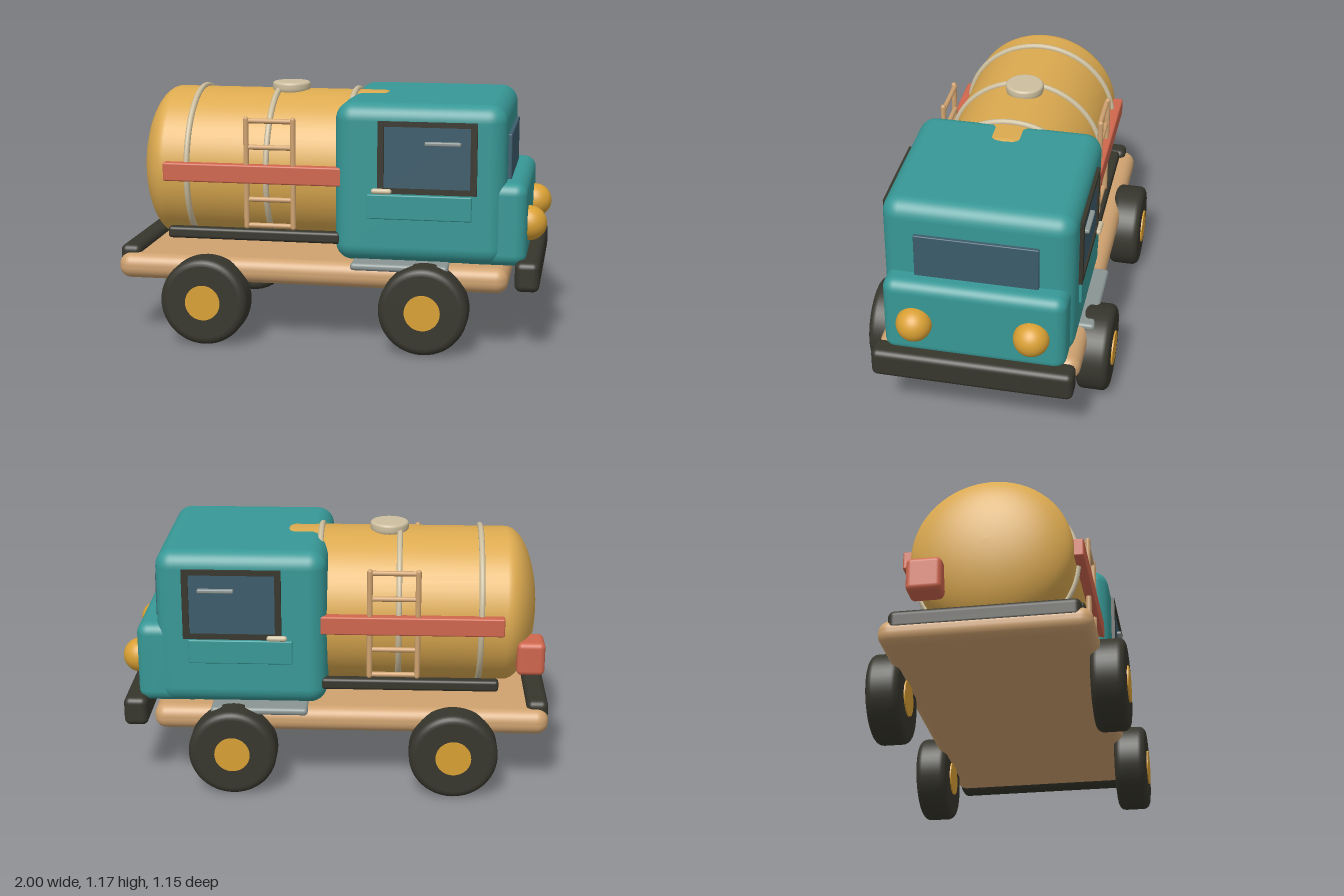
import * as THREE from 'three';
import { RoundedBoxGeometry } from 'three/addons/geometries/RoundedBoxGeometry.js';

export function createModel() {
  const truck = new THREE.Group();
  truck.name = 'tankTruck';

  const mat = (name, color) => {
    const m = new THREE.MeshStandardMaterial({ color });
    m.name = name;
    return m;
  };
  const teal = mat('tealPaint', 0x379896);
  const gold = mat('tankYellow', 0xdcaa50);
  const tan = mat('tanFrame', 0xcfa270);
  const dark = mat('darkRubber', 0x37362d);
  const amber = mat('amber', 0xd9a034);
  const red = mat('redPaint', 0xcf664d);
  const cream = mat('creamMetal', 0xcdbf9f);
  const grey = mat('greyMetal', 0x8a9593);
  const glass = mat('blueGlass', 0x3c5c6b);

  const add = (name, geometry, material, x = 0, y = 0, z = 0) => {
    const mesh = new THREE.Mesh(geometry, material);
    mesh.name = name;
    mesh.position.set(x, y, z);
    truck.add(mesh);
    return mesh;
  };
  // Rounded box given by its limits on each axis
  const box = (name, material, [x0, x1], [y0, y1], [z0, z1], radius) =>
    add(name, new RoundedBoxGeometry(x1 - x0, y1 - y0, z1 - z0, 5, radius), material,
      (x0 + x1) / 2, (y0 + y1) / 2, (z0 + z1) / 2);
  // Round bar along one axis
  const bar = (name, material, radius, length, axis, x, y, z) => {
    const g = new THREE.CapsuleGeometry(radius, length - 2 * radius, 5, 14);
    if (axis === 'x') g.rotateZ(Math.PI / 2);
    return add(name, g, material, x, y, z);
  };
  // Quarter ellipse points, used for lathe profiles
  const arc = (cx, cy, rx, ry, a0, a1, n) => Array.from({ length: n + 1 }, (_, i) => {
    const a = a0 + (a1 - a0) * i / n;
    return new THREE.Vector2(Math.max(0, cx + rx * Math.cos(a)), cy + ry * Math.sin(a));
  });
  const Q = Math.PI / 2;

  // Chassis and bumpers
  box('chassis', tan, [-1, 0.835], [0.275, 0.395], [-0.465, 0.465], 0.055);
  box('frontBumper', dark, [0.865, 0.977], [0.292, 0.43], [-0.46, 0.46], 0.03);
  box('rearBumper', dark, [-1, -0.9], [0.33, 0.43], [-0.418, 0.418], 0.03);

  // Cab, bonnet and windscreen
  box('cab', teal, [0.03, 0.815], [0.395, 1.133], [-0.43, 0.43], 0.08);
  box('bonnet', teal, [0.6, 0.912], [0.395, 0.78], [-0.413, 0.413], 0.055);
  box('windscreen', glass, [0.81, 0.832], [0.74, 0.988], [-0.278, 0.278], 0.005);

  // Tank with domed ends
  const tankY = 0.772, tankR = 0.367;
  const tank = new THREE.LatheGeometry([
    ...arc(0, -0.5, tankR, 0.15, -Q, 0, 14),
    ...arc(0, 0.5, tankR, 0.15, 0, Q, 14),
  ], 64);
  tank.rotateZ(-Q);
  add('tank', tank, gold, -0.3, tankY, 0);
  for (const x of [-0.68, -0.3, 0.07]) {
    add('tankBand', new THREE.TorusGeometry(0.371, 0.014, 10, 64).rotateY(Q), cream, x, tankY, 0);
  }
  const hatch = new THREE.LatheGeometry([
    new THREE.Vector2(0, 0), new THREE.Vector2(0.078, 0),
    ...arc(0.078, 0.022, 0.013, 0.022, -Q, 0, 4),
    ...arc(0.078, 0.037, 0.013, 0.013, 0, Q, 4),
    new THREE.Vector2(0, 0.05),
  ], 36);
  add('hatch', hatch, cream, -0.25, 1.124, 0);

  // Single rear lamp box
  box('rearLamp', red, [-0.98, -0.85], [0.53, 0.69], [-0.35, -0.19], 0.025);

  // Window surround, a rectangle with an opening
  const rect = (C, x0, y0, x1, y1) => {
    const s = new C();
    s.moveTo(x0, y0);
    s.lineTo(x1, y0);
    s.lineTo(x1, y1);
    s.lineTo(x0, y1);
    s.closePath();
    return s;
  };
  const surround = rect(THREE.Shape, 0.235, 0.727, 0.687, 1.057);
  surround.holes.push(rect(THREE.Path, 0.264, 0.752, 0.657, 1.034));

  // Tyre and hub profiles
  const tyre = new THREE.LatheGeometry([
    new THREE.Vector2(0, -0.075), new THREE.Vector2(0.172, -0.075),
    ...arc(0.172, -0.042, 0.033, 0.033, -Q, 0, 6),
    ...arc(0.172, 0.042, 0.033, 0.033, 0, Q, 6),
    new THREE.Vector2(0.172, 0.075), new THREE.Vector2(0, 0.075),
  ], 48).rotateX(Q);
  const hub = new THREE.CylinderGeometry(0.082, 0.082, 0.164, 36).rotateX(Q);

  // Parts mirrored on both sides
  for (const s of [1, -1]) {
    const span = (a, b) => (s > 0 ? [a, b] : [-b, -a]);

    for (const x of [-0.56, 0.46]) {
      add('tyre', tyre, dark, x, 0.207, s * 0.495);
      add('hub', hub, amber, x, 0.207, s * 0.495);
    }
    add('headlight', new THREE.SphereGeometry(0.081, 32, 20), amber, 0.917, 0.577, s * 0.264);

    // Door
    const frame = new THREE.ExtrudeGeometry(surround, { depth: 0.022, bevelEnabled: false });
    add('windowFrame', frame, dark, 0, 0, s > 0 ? 0.425 : -0.447);
    box('sideWindow', glass, [0.25, 0.67], [0.74, 1.045], span(0.425, 0.438), 0.002);
    box('doorPanel', teal, [0.185, 0.665], [0.606, 0.72], span(0.42, 0.443), 0.006);
    bar('doorHandle', cream, 0.013, 0.095, 'x', 0.255, 0.738, s * 0.455);
    box('windowPull', grey, [0.45, 0.615], [0.952, 0.97], span(0.436, 0.46), 0.006);
    box('step', grey, [0.115, 0.565], [0.37, 0.405], span(0.35, 0.49), 0.016);

    // Tank side rails
    box('sideStripe', red, [-0.785, 0.067], [0.743, 0.83], span(0.36, 0.41), 0.008);
    box('lowerRail', dark, [-0.765, 0.055], [0.471, 0.525], span(0.355, 0.408), 0.015);

    // Ladder
    for (const x of [-0.388, -0.167]) {
      bar('ladderRail', tan, 0.013, 0.53, 'y', x, 0.79, s * 0.385);
    }
    for (let i = 0; i < 5; i++) {
      bar('ladderRung', tan, 0.012, 0.24, 'x', -0.278, 0.542 + i * 0.123, s * 0.38);
    }
  }
  return truck;
}
